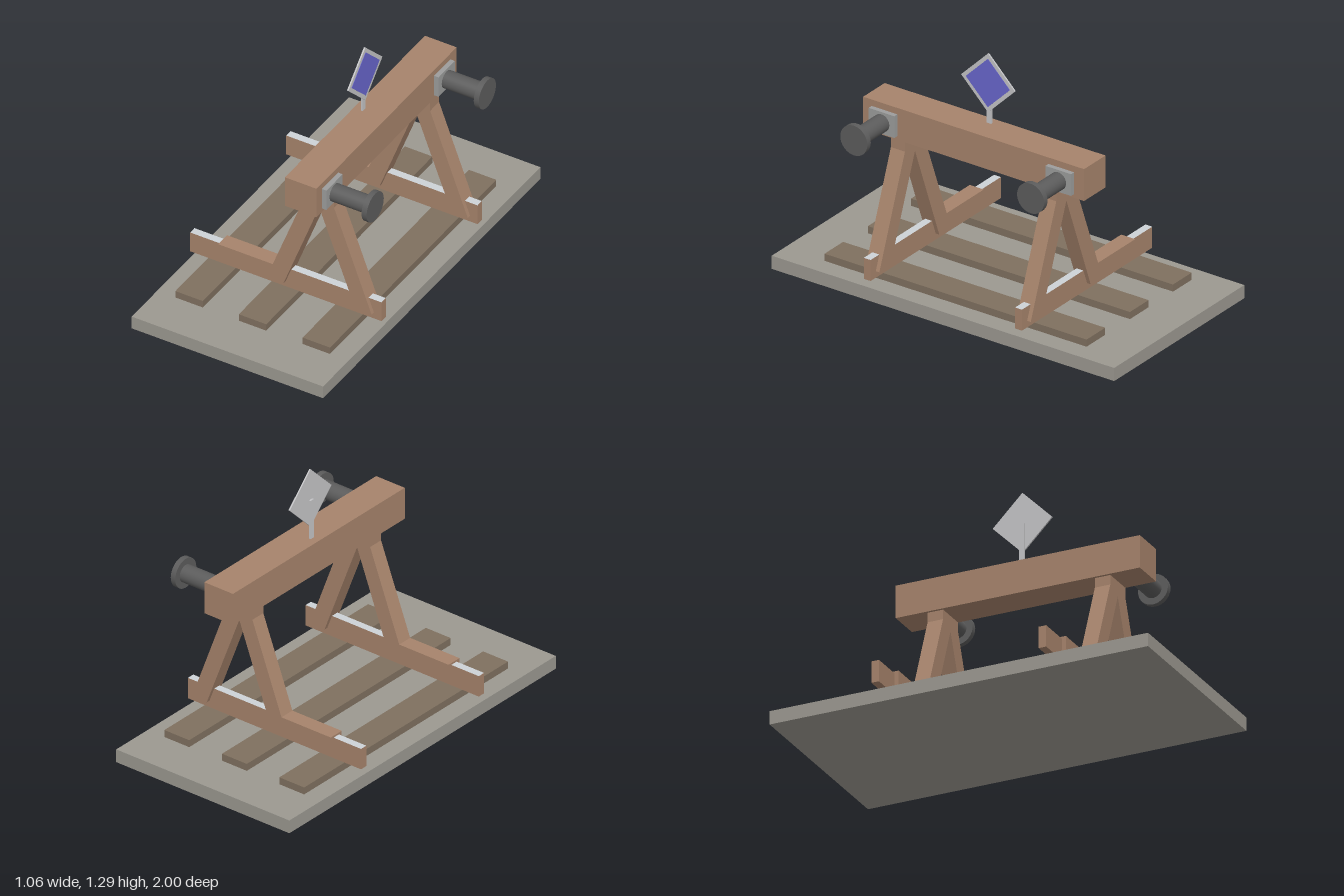
import * as THREE from 'three';

const mat = (name, color) => {
  const m = new THREE.MeshStandardMaterial({ color });
  m.name = name;
  return m;
};

export function createModel() {
  const model = new THREE.Group();
  model.name = 'bufferStop';

  const gravel = mat('gravel grey', 0x9b9890);
  const sleeperWood = mat('sleeper brown', 0x7f705f);
  const timber = mat('timber brown', 0xa6836b);
  const railSteel = mat('polished rail', 0xcdd2d6);
  const plateSteel = mat('plate grey', 0x9c9d9c);
  const darkSteel = mat('dark steel', 0x5c5c5c);
  const signGrey = mat('sign grey', 0xc4c4c6);
  const signBlue = mat('sign blue', 0x6866cc);

  const add = (name, geometry, material, x = 0, y = 0, z = 0, parent = model) => {
    const mesh = new THREE.Mesh(geometry, material);
    mesh.name = name;
    mesh.position.set(x, y, z);
    parent.add(mesh);
    return mesh;
  };
  // Box given by its lower and upper corners
  const box = (name, material, [x0, y0, z0], [x1, y1, z1], parent) =>
    add(name, new THREE.BoxGeometry(x1 - x0, y1 - y0, z1 - z0), material,
      (x0 + x1) / 2, (y0 + y1) / 2, (z0 + z1) / 2, parent);

  // Ground slab and sleepers
  box('groundSlab', gravel, [-0.53, 0, -1], [0.53, 0.07, 1]);
  for (const x of [-0.353, -0.002, 0.351]) {
    box('sleeper', sleeperWood, [x - 0.076, 0.07, -0.765], [x + 0.076, 0.108, 0.765]);
  }

  // Rails with a polished top face, and the A-shaped side frames over them
  const railMaterials = [timber, timber, railSteel, timber, timber, timber];
  const outline = [
    [-0.362, 0.14], [0, 0.14], [0.198, 0.67], [0.398, 0.143], [0.488, 0.143],
    [0.28, 0.70], [0.28, 0.75], [0.118, 0.75], [0.118, 0.70], [-0.06, 0.23], [-0.362, 0.23],
  ];
  const frameShape = new THREE.Shape(outline.map(([x, y]) => new THREE.Vector2(x, y)));
  const frameGeometry = new THREE.ExtrudeGeometry(frameShape, { depth: 0.082, bevelEnabled: false });
  frameGeometry.translate(0, 0, -0.041);
  for (const side of [-1, 1]) {
    const z = side * 0.442;
    box('rail', railMaterials, [-0.53, 0.108, z - 0.02], [0.53, 0.22, z + 0.02]);
    add('sideFrame', frameGeometry, timber, 0, 0, z);
  }

  // Cross beam
  box('crossBeam', timber, [0.105, 0.75, -0.645], [0.28, 0.92, 0.645]);

  // Buffers: mounting plate, shaft and round head along +x
  const rod = (r, length) => new THREE.CylinderGeometry(r, r, length, 32).rotateZ(Math.PI / 2);
  for (const z of [-0.512, 0.52]) {
    const buffer = new THREE.Group();
    buffer.name = 'buffer';
    buffer.position.set(0, 0.828, z);
    model.add(buffer);
    box('mountingPlate', plateSteel, [0.28, -0.058, -0.075], [0.305, 0.058, 0.075], buffer);
    add('bufferShaft', rod(0.046, 0.2), darkSteel, 0.404, 0, 0, buffer);
    add('bufferHead', rod(0.079, 0.028), darkSteel, 0.516, 0, 0, buffer);
  }

  // Diamond sign on a post, blue face towards +x
  box('signPost', signGrey, [0.145, 0.92, -0.013], [0.155, 1.13, 0.013]);
  const sign = new THREE.Group();
  sign.name = 'diamondSign';
  sign.position.set(0.159, 1.138, 0);
  sign.rotation.x = Math.PI / 4;
  model.add(sign);
  add('signBoard', new THREE.BoxGeometry(0.008, 0.222, 0.222), signGrey, 0, 0, 0, sign);
  add('signPanel', new THREE.BoxGeometry(0.003, 0.182, 0.182), signBlue, 0.0045, 0, 0, sign);

  return model;
}
